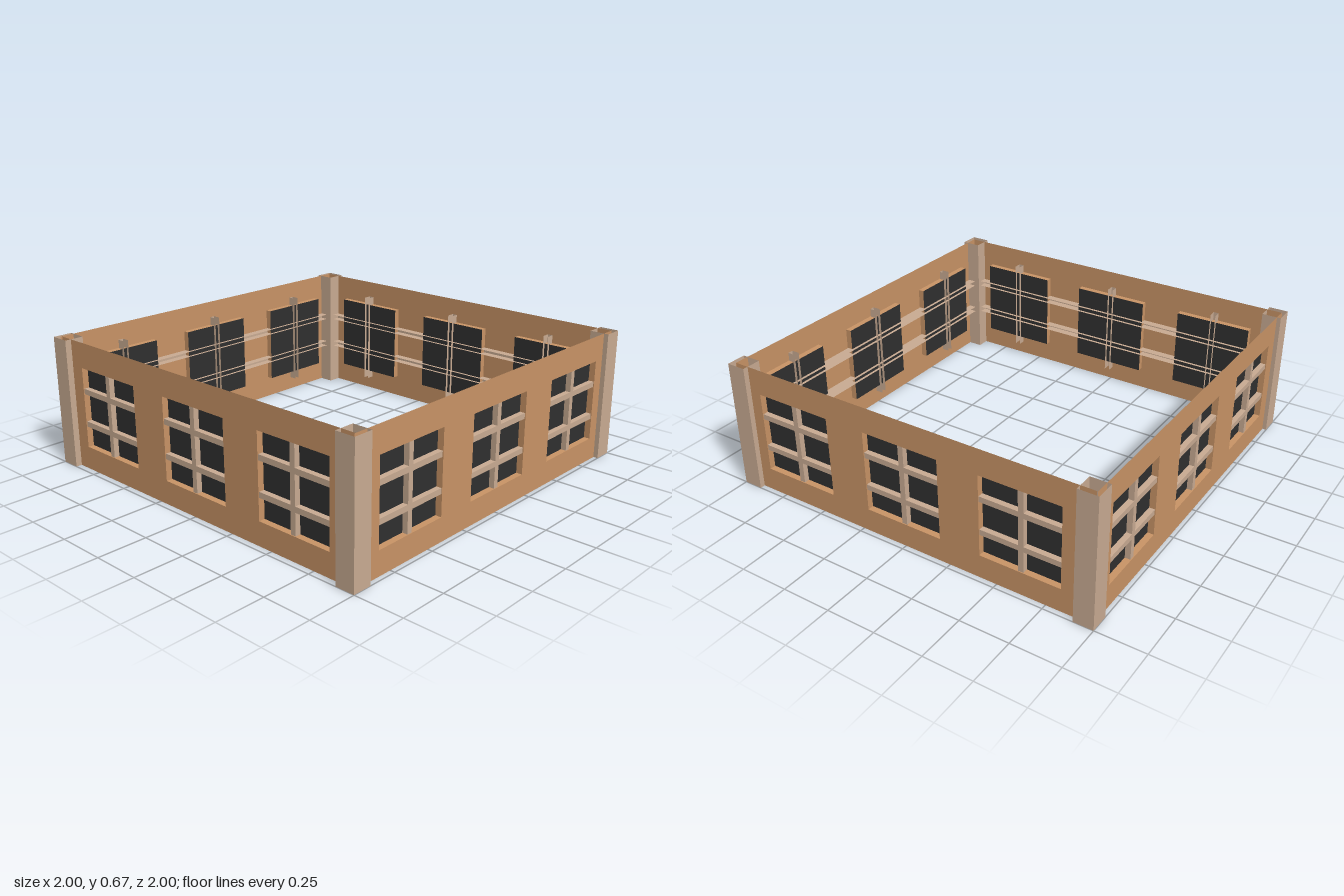
import * as THREE from 'three';

const H = 0.668;                       // wall and post height
const WIN_W = 0.412, WIN_Y0 = 0.12, WIN_Y1 = 0.536;
const WIN_H = WIN_Y1 - WIN_Y0, WIN_Y = (WIN_Y0 + WIN_Y1) / 2;
const REVEAL = 0.032;                  // depth of window box
const BAR = 0.028, BAR_IN = 0.004, BAR_DEPTH = 0.043;

const mat = (color) => new THREE.MeshStandardMaterial({ color, side: THREE.DoubleSide, flatShading: true });

// Thin-walled box with some faces left out (0..5 = +x -x +y -y +z -z)
function openBox(w, h, d, open) {
  const geo = new THREE.BoxGeometry(w, h, d);
  const idx = Array.from(geo.index.array);
  geo.setIndex(idx.filter((_, i) => !open.includes(Math.floor(i / 6))));
  geo.clearGroups();
  return geo;
}

function add(parent, name, geo, material, x, y, z) {
  const mesh = new THREE.Mesh(geo, material);
  mesh.name = name;
  mesh.position.set(x, y, z);
  parent.add(mesh);
  return mesh;
}

export function createModel() {
  const model = new THREE.Group();
  model.name = 'windowedWalls';
  const wallMat = mat(0xc99466), trimMat = mat(0xc9ab92), glassMat = mat(0x303030);

  // One wall facing +z at distance dist; s flips the slight window offset
  function makeSide(name, dist, s, angle) {
    const side = new THREE.Group();
    side.name = name;
    const centres = [-0.618, 0.008, 0.634].map((x) => x * s);

    // Thin wall with window openings
    const shape = new THREE.Shape();
    shape.moveTo(-0.975, 0).lineTo(0.975, 0).lineTo(0.975, H).lineTo(-0.975, H).closePath();
    for (const x of centres) {
      const l = x - WIN_W / 2, r = x + WIN_W / 2;
      const hole = new THREE.Path();
      hole.moveTo(l, WIN_Y0).lineTo(l, WIN_Y1).lineTo(r, WIN_Y1).lineTo(r, WIN_Y0).closePath();
      shape.holes.push(hole);
    }
    add(side, 'wall', new THREE.ShapeGeometry(shape), wallMat, 0, 0, dist);

    const barZ = dist - BAR_IN - BAR_DEPTH / 2;
    for (const x of centres) {
      // Window surround, pane and upright channel bar
      add(side, 'windowReveal', openBox(WIN_W, WIN_H, REVEAL, [4, 5]), wallMat, x, WIN_Y, dist - REVEAL / 2);
      add(side, 'windowPane', new THREE.PlaneGeometry(WIN_W, WIN_H), glassMat, x, WIN_Y, dist - REVEAL);
      add(side, 'uprightBar', openBox(BAR, WIN_H + 0.09, BAR_DEPTH, [2, 3, 5]), trimMat, x - 0.005 * s, WIN_Y, barZ);
    }
    // Long channel bars running behind the whole wall
    for (const y of [0.242, 0.414]) {
      add(side, 'crossBar', openBox(1.95, BAR, BAR_DEPTH, [0, 1, 5]), trimMat, 0, y, barZ);
    }
    side.rotation.y = angle;
    model.add(side);
  }

  makeSide('frontSide', 0.968, 1, 0);
  makeSide('leftSide', 0.976, 1, Math.PI / 2);
  makeSide('backSide', 0.973, -1, Math.PI);
  makeSide('rightSide', 0.979, -1, -Math.PI / 2);

  // Hollow square corner posts
  for (const x of [-0.95, 0.95]) {
    for (const z of [-0.95, 0.95]) {
      add(model, 'cornerPost', openBox(0.1, H, 0.1, [2, 3]), trimMat, x, H / 2, z);
    }
  }
  return model;
}
